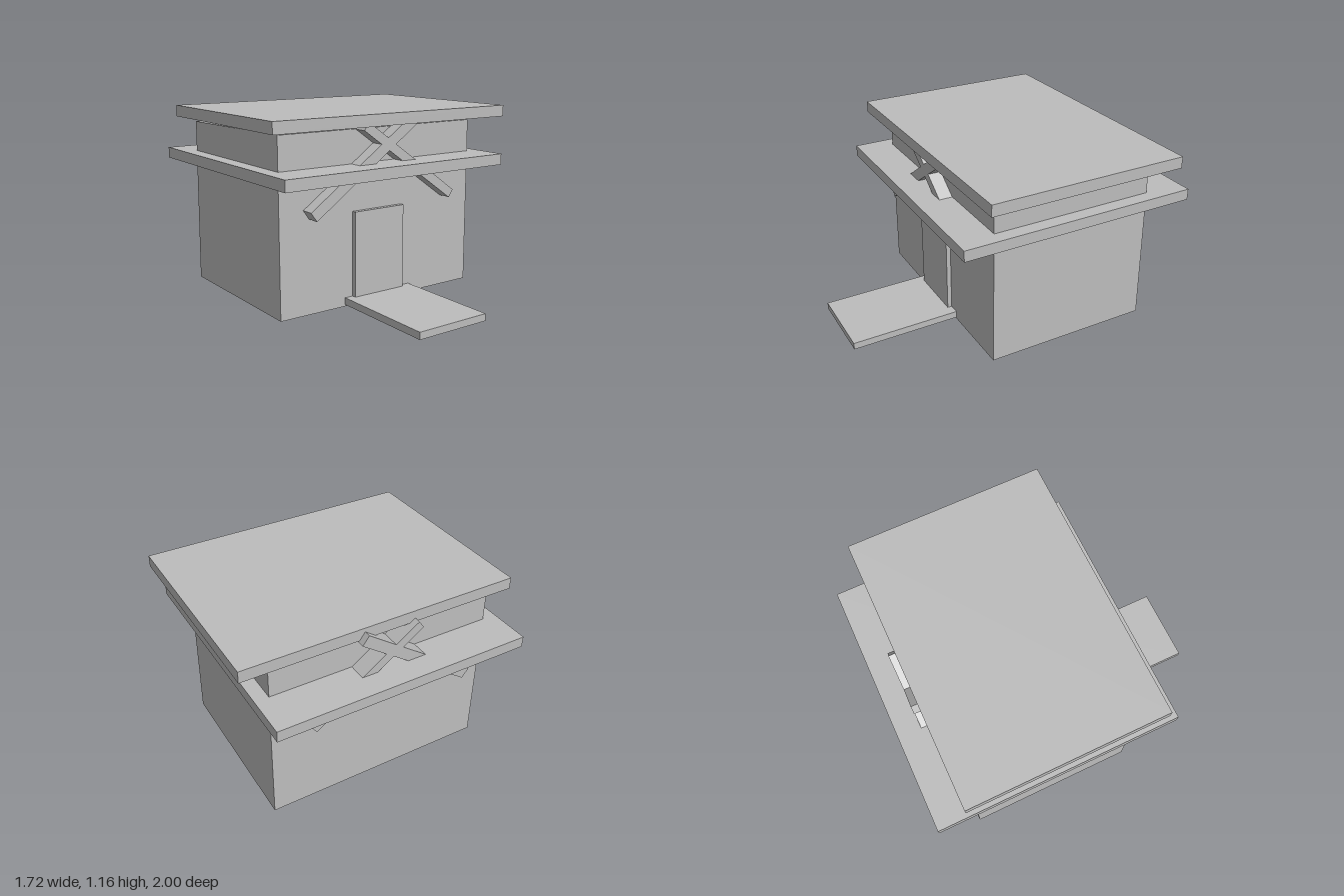
import * as THREE from 'three';

export function createModel() {
  const model = new THREE.Group();
  model.name = 'hut';
  const clay = new THREE.MeshStandardMaterial({ color: 0xbcbcbc, flatShading: true });
  clay.name = 'plain grey';

  // Box given by its extents on each axis
  function slab(name, [x0, x1], [y0, y1], [z0, z1]) {
    const geometry = new THREE.BoxGeometry(x1 - x0, y1 - y0, z1 - z0);
    geometry.translate((x0 + x1) / 2, (y0 + y1) / 2, (z0 + z1) / 2);
    const mesh = new THREE.Mesh(geometry, clay);
    mesh.name = name;
    model.add(mesh);
    return mesh;
  }

  // Main body, its back wall leaning in and its top dipping towards the back
  const body = slab('walls', [-0.76, 0.665], [0, 1.073], [-0.765, 0.305]);
  const p = body.geometry.attributes.position;
  for (let i = 0; i < p.count; i++) {
    if (p.getZ(i) < 0 && p.getY(i) > 0.5) {
      p.setZ(i, -0.742);
      p.setY(i, 1.06);
    }
  }
  body.geometry.computeVertexNormals();

  // Two flat roof tiers
  slab('lowerRoof', [-0.85, 0.75], [0.798, 0.868], [-1, 0.533]);
  slab('upperRoof', [-0.86, 0.86], [1.093, 1.165], [-0.815, 0.43]);

  // Door and entrance platform
  slab('door', [-0.255, 0.112], [0.003, 0.582], [0.25, 0.333]);
  slab('platform', [-0.31, 0.18], [0.01, 0.054], [0.29, 1]);

  // Crossed beams running through the building from front to back
  function beam(name, [x0, y0], [x1, y1], width) {
    const length = Math.hypot(x1 - x0, y1 - y0);
    const mesh = new THREE.Mesh(new THREE.BoxGeometry(length, width, 1.245), clay);
    mesh.position.set((x0 + x1) / 2, (y0 + y1) / 2, -0.2325);
    mesh.rotation.z = Math.atan2(y1 - y0, x1 - x0);
    mesh.name = name;
    model.add(mesh);
  }
  beam('risingBeam', [-0.58, 0.603], [0.145, 1.113], 0.068);
  beam('fallingBeam', [-0.213, 1.093], [0.453, 0.623], 0.057);

  return model;
}
